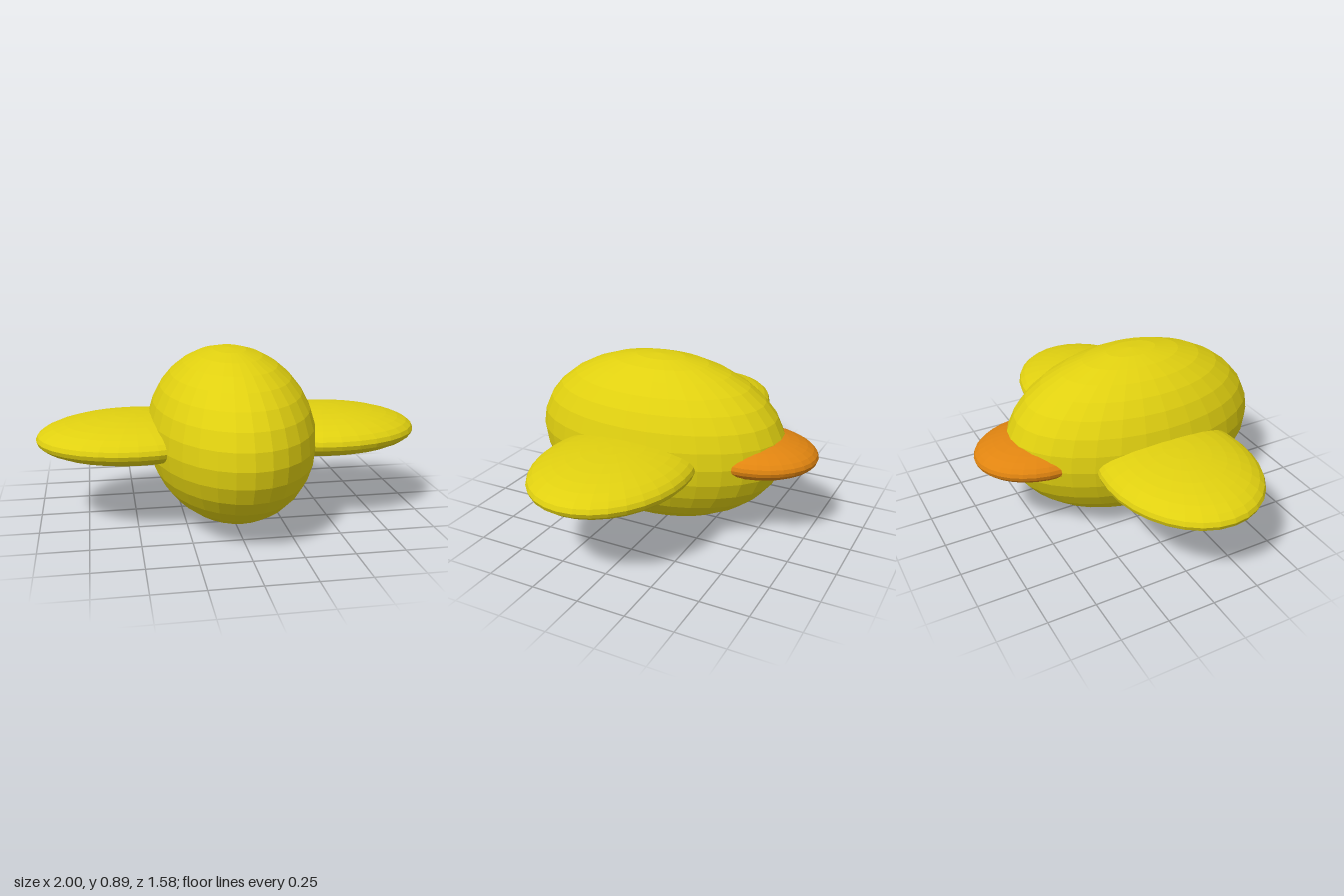
import * as THREE from 'three';

export function createModel() {
  const model = new THREE.Group();
  const yellow = new THREE.MeshStandardMaterial({ color: 0xe0d010, flatShading: true });
  yellow.name = 'yellow';
  const orange = new THREE.MeshStandardMaterial({ color: 0xe08410, flatShading: true });
  orange.name = 'orange';

  // Faceted ellipsoid with its poles on the y axis
  function ellipsoid(name, material, radii, position) {
    const geometry = new THREE.SphereGeometry(1, 32, 16).scale(...radii);
    const mesh = new THREE.Mesh(geometry, material);
    mesh.name = name;
    mesh.position.set(...position);
    model.add(mesh);
  }

  // Plump body, longest from front to back
  ellipsoid('body', yellow, [0.433, 0.447, 0.702], [0, 0.452, 0.088]);

  // Flat wings, meeting inside the body
  for (const side of [1, -1]) {
    ellipsoid(side > 0 ? 'leftWing' : 'rightWing', yellow,
      [0.5, 0.114, 0.392], [side * 0.5, 0.452, 0.084]);
  }

  // Flat rounded tail at the back
  ellipsoid('tail', orange, [0.28, 0.1, 0.351], [0, 0.452, -0.439]);

  return model;
}
